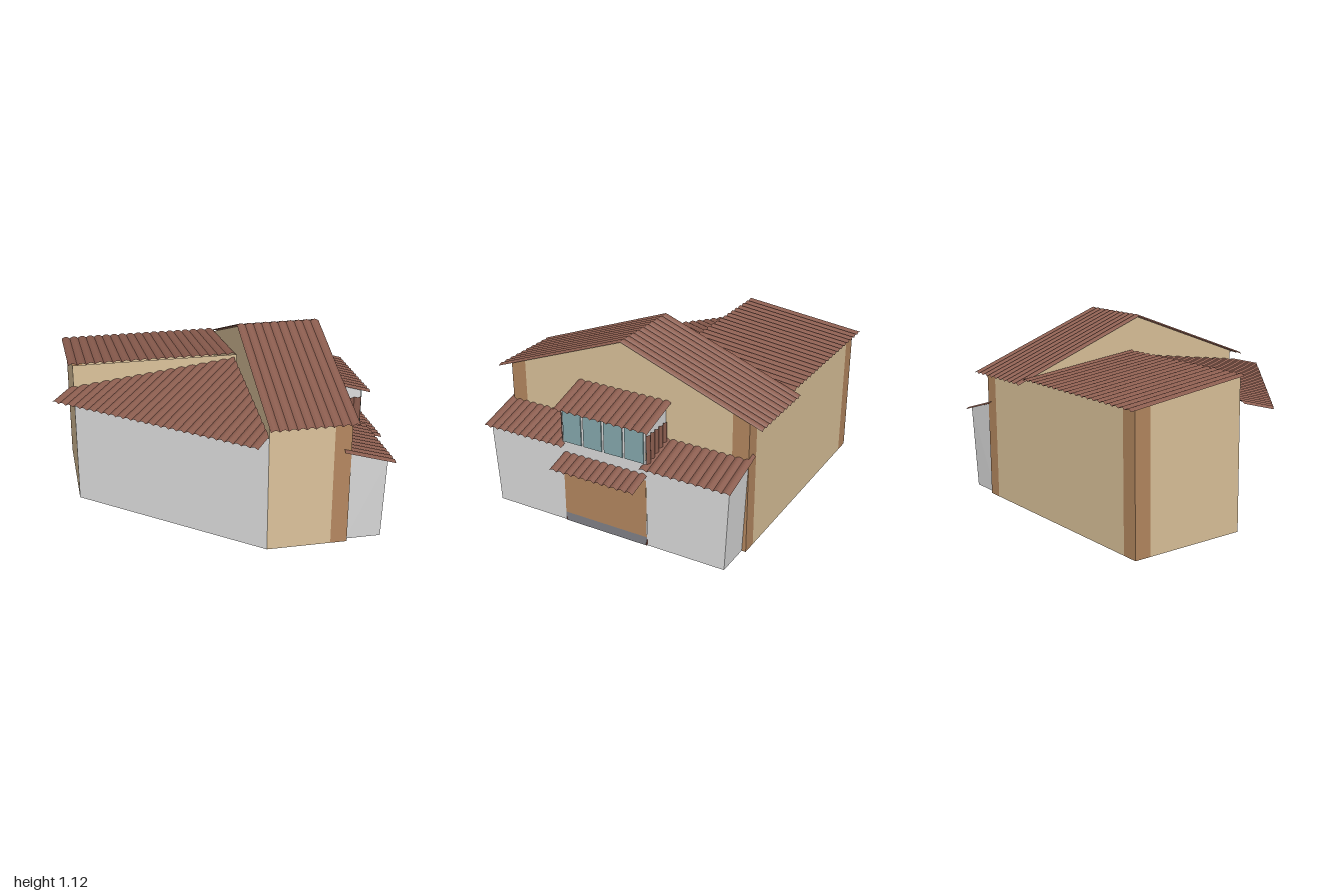
import * as THREE from 'three';

const mat = (name, color) => new THREE.MeshStandardMaterial({ name, color, side: THREE.DoubleSide });

export function createModel() {
  const house = new THREE.Group();
  house.name = 'house';
  const sand = mat('sandWall', 0xdcc39b);
  const pale = mat('paleWall', 0xdcdcdc);
  const brown = mat('brownTrim', 0xb58860);
  const tile = mat('roofTile', 0x8a5c4e);
  const glass = mat('windowGlass', 0x86a9ae);
  const slate = mat('slateBase', 0x828288);
  const red = mat('redStep', 0xc4583c);

  const add = (name, positions, material) => {
    const g = new THREE.BufferGeometry();
    g.setAttribute('position', new THREE.Float32BufferAttribute(positions, 3));
    g.computeVertexNormals();
    const mesh = new THREE.Mesh(g, material);
    mesh.name = name;
    house.add(mesh);
  };

  // flat convex wall panel from its corners
  const panel = (name, material, pts) => {
    const out = [];
    for (let i = 1; i < pts.length - 1; i++) out.push(...pts[0], ...pts[i], ...pts[i + 1]);
    add(name, out, material);
  };

  // sheet of rounded tiles: ribs run along `down`, repeating along `across`
  const tiles = (name, origin, across, down, width, length, waves, lift = [0, 1, 0]) => {
    const V = (a) => new THREE.Vector3(...a);
    const o = V(origin), a = V(across).normalize(), d = V(down), l = V(lift);
    const steps = waves * 6, out = [];
    const at = (i, far) => {
      const u = (i / steps) * width;
      const h = 0.012 * Math.abs(Math.sin((i / 6) * Math.PI)) - 0.004;
      return o.clone().addScaledVector(a, u).addScaledVector(d, far ? length(u) : 0)
        .addScaledVector(l, h).toArray();
    };
    for (let i = 0; i < steps; i++) {
      const p = at(i, 0), q = at(i + 1, 0), r = at(i + 1, 1), s = at(i, 1);
      out.push(...p, ...r, ...q, ...p, ...s, ...r);
    }
    add(name, out, tile);
  };
  const full = () => 1;

  // main gabled block
  const X0 = 0.15, X1 = 0.63, ZF = 0.75, ZB = -0.82, ridgeZ = -0.03;
  const roofY = (z) => 1.1 - 0.374 * Math.abs(z - ridgeZ);
  const gable = (x, z0, z1) => {
    const pts = [[x, 0, z0], [x, 0, z1], [x, roofY(z1), z1]];
    if (z0 < ridgeZ && z1 > ridgeZ) pts.push([x, roofY(ridgeZ), ridgeZ]);
    return [...pts, [x, roofY(z0), z0]];
  };
  const upright = (name, m, x0, z0, x1, z1, y0, y1) =>
    panel(name, m, [[x0, y0, z0], [x1, y0, z1], [x1, y1, z1], [x0, y1, z0]]);

  panel('innerGableWall', sand, gable(X0, ZB, ZF));
  panel('outerGableWall', sand, gable(X1, -0.72, 0.65));
  panel('gableFrontTrim', brown, gable(X1, 0.65, ZF));
  panel('gableBackTrim', brown, gable(X1, ZB, -0.72));
  upright('frontWall', sand, X0, ZF, 0.53, ZF, 0, roofY(ZF));
  upright('frontCornerTrim', brown, 0.53, ZF, X1, ZF, 0, roofY(ZF));
  upright('mainBackWall', sand, X0, ZB, 0.54, ZB, 0, roofY(ZB));
  upright('backCornerTrim', brown, 0.54, ZB, X1, ZB, 0, roofY(ZB));
  for (const s of [1, -1]) {
    tiles('mainRoofSlope', [0.135, 1.108, ridgeZ], [1, 0, 0], [0, -0.326, 0.87 * s], 0.51, full, 10);
  }

  // back wing with a single slope
  const wingX = -0.86, wingZ = -0.1;
  const wingY = (z) => 0.892 + 0.118 * (z - wingZ);
  upright('wingBackWall', sand, -0.76, ZB, X0, ZB, 0, wingY(ZB));
  upright('wingBackTrim', brown, wingX, ZB, -0.76, ZB, 0, wingY(ZB));
  const wingEnd = (name, m, z0, z1) => panel(name, m,
    [[wingX, 0, z0], [wingX, 0, z1], [wingX, wingY(z1), z1], [wingX, wingY(z0), z0]]);
  wingEnd('wingEndWall', sand, -0.72, wingZ);
  wingEnd('wingEndTrim', brown, ZB, -0.72);
  upright('wingUpperWall', sand, wingX, wingZ, X0, wingZ, 0.7, wingY(wingZ));
  tiles('wingRoof', [-0.885, 0.897, -0.095], [1, 0, 0], [0, -0.09, -0.768], 1.03, full, 19);

  // diagonal front wall and its lean-to roof, clipped against wing and gable block
  upright('diagonalWall', pale, wingX, wingZ, X0, ZF, 0, 0.705);
  const reach = (u) => u < 0.79
    ? THREE.MathUtils.mapLinear(u, 0, 0.79, 0.16, 0.825)
    : THREE.MathUtils.mapLinear(u, 0.79, 1.37, 0.825, 0.13);
  tiles('diagonalRoof', [-1, 0.717, 0.02], [0.766, 0, 0.643], [0.643, 0.185, -0.766], 1.37, reach, 27);

  // low side rooms with leaning end walls
  const SX = 0.85, SB = 0.845;
  const sideRoom = (inner, top, bottom) => {
    panel('sideRoomOuterWall', pale, [[SB, 0, inner], [SB, 0, bottom], [SX, 0.512, top], [SX, 0.512, inner]]);
    panel('sideRoomEndWall', pale, [[X1, 0, bottom], [SB, 0, bottom], [SX, 0.512, top], [X1, 0.575, top]]);
  };
  sideRoom(0.24, 0.75, 0.72);
  sideRoom(-0.31, ZB, -0.795);
  for (const z of [-0.84, 0.225]) {
    tiles('sideRoomRoof', [0.585, 0.592, z], [0, 0, 1], [0.305, -0.09, 0], 0.555, full, 11);
  }

  // central bay with door, step, windows and tiled cheeks
  const BF = 0.24, BB = -0.31;
  for (const [z, s] of [[BF, 1], [BB, -1]]) {
    panel('bayCheek', pale, [[X1, 0, z], [SB, 0, z], [SX, 0.74, z], [X1, 0.805, z]]);
    upright('stepSide', red, X1, z - 0.004 * s, 0.852, z - 0.004 * s, 0, 0.06);
    tiles('bayCheekTiles', [X1, 0.695, z + 0.008 * s], [1, 0, 0], [0, -0.195, 0], 0.22, full, 5, [0, 0, s]);
  }
  upright('stepFront', slate, SX, BB, SX, BF, 0, 0.055);
  upright('door', brown, SX, BB, SX, BF, 0.055, 0.42);
  upright('bayFrontWall', pale, SX, BB, SX, BF, 0.42, 0.745);
  for (let i = 0; i < 4; i++) {
    const pane = new THREE.Mesh(new THREE.BoxGeometry(0.008, 0.205, 0.12), glass);
    pane.name = 'windowPane';
    pane.position.set(SX + 0.003, 0.627, 0.169 - i * 0.136);
    house.add(pane);
  }
  tiles('bayRoof', [0.635, 0.812, -0.345], [0, 0, 1], [0.263, -0.08, 0], 0.615, full, 12);
  tiles('doorAwning', [SX, 0.453, -0.315], [0, 0, 1], [0.15, -0.043, 0], 0.55, full, 11);

  return house;
}
